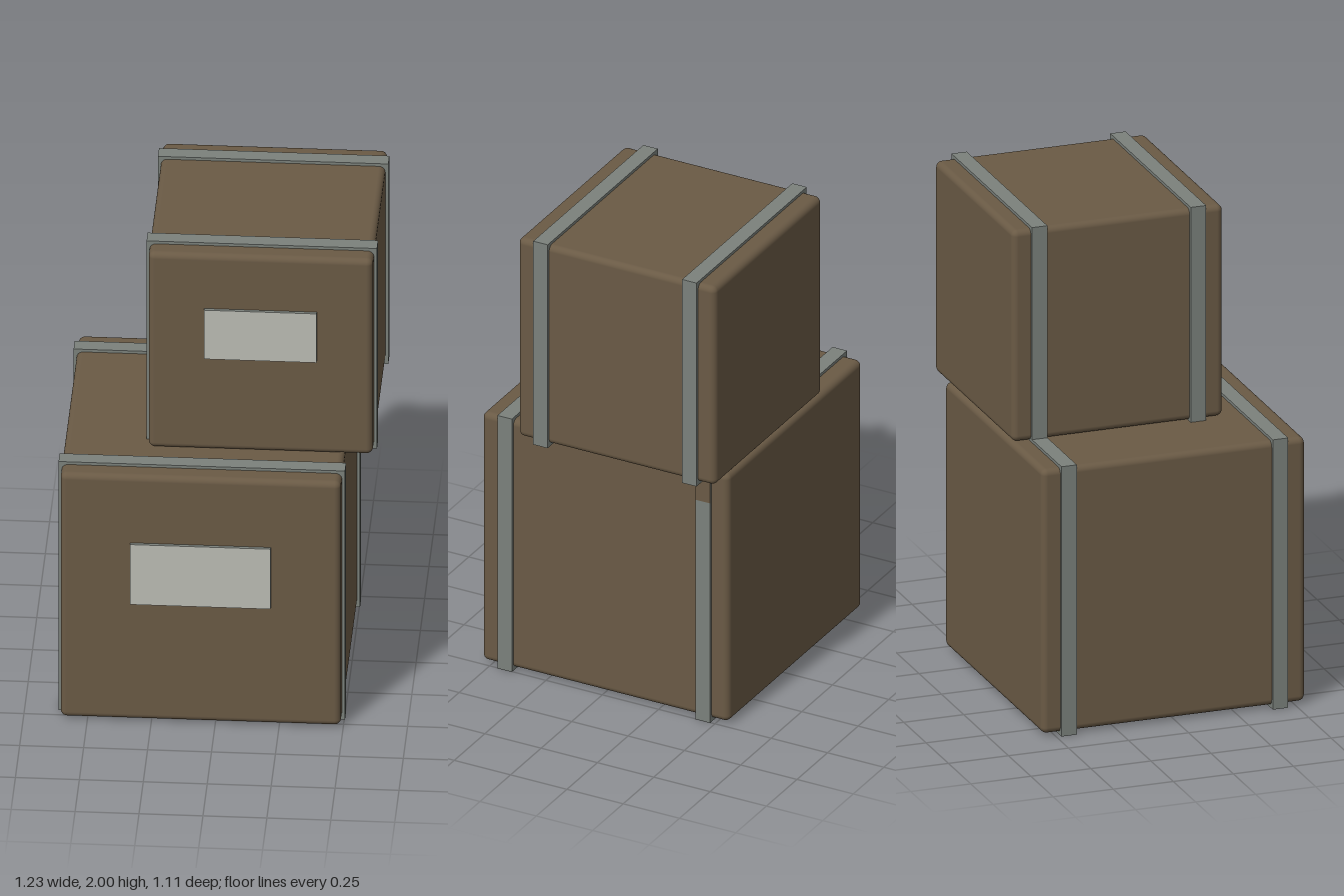
import * as THREE from 'three';
import { RoundedBoxGeometry } from 'three/addons/geometries/RoundedBoxGeometry.js';

const material = (name, color) => {
  const m = new THREE.MeshStandardMaterial({ color });
  m.name = name;
  return m;
};

export function createModel() {
  const cardboard = material('cardboard brown', 0x6a5a45);
  const strapGrey = material('strap grey', 0x7b817c);
  const paper = material('label paper', 0xbcbdb5);

  const model = new THREE.Group();
  model.name = 'stackedBoxes';

  const add = (parent, name, geometry, mat, x, y, z) => {
    const mesh = new THREE.Mesh(geometry, mat);
    mesh.name = name;
    mesh.position.set(x, y, z);
    parent.add(mesh);
  };

  // One cubic carton with two straps around it and a label on its front
  function carton(name, size, x, y, z, strapZs, label) {
    const group = new THREE.Group();
    group.name = name;
    add(group, 'carton', new RoundedBoxGeometry(size, size, size, 3, 0.025), cardboard, x, y, z);
    const outer = size + 0.024;
    strapZs.forEach((sz, i) =>
      add(group, i ? 'backStrap' : 'frontStrap', new THREE.BoxGeometry(outer, outer, 0.064), strapGrey, x, y, sz));
    // Pale front face, grey edges
    const sides = [strapGrey, strapGrey, strapGrey, strapGrey, paper, paper];
    add(group, 'label', new THREE.BoxGeometry(label.w, label.h, 0.028), sides, x, label.y, z + size / 2);
    model.add(group);
  }

  carton('lowerBox', 1.096, -0.057, 0.561, -0.007, [0.432, -0.448], { w: 0.55, h: 0.27, y: 0.675 });
  carton('upperBox', 0.877, 0.163, 1.551, -0.117, [0.213, -0.448], { w: 0.44, h: 0.22, y: 1.64 });

  // Brown patch on the lower back strap, under the overhanging box
  add(model, 'strapPatch', new THREE.BoxGeometry(0.004, 0.146, 0.065), cardboard, 0.502, 1.047, -0.448);

  return model;
}
